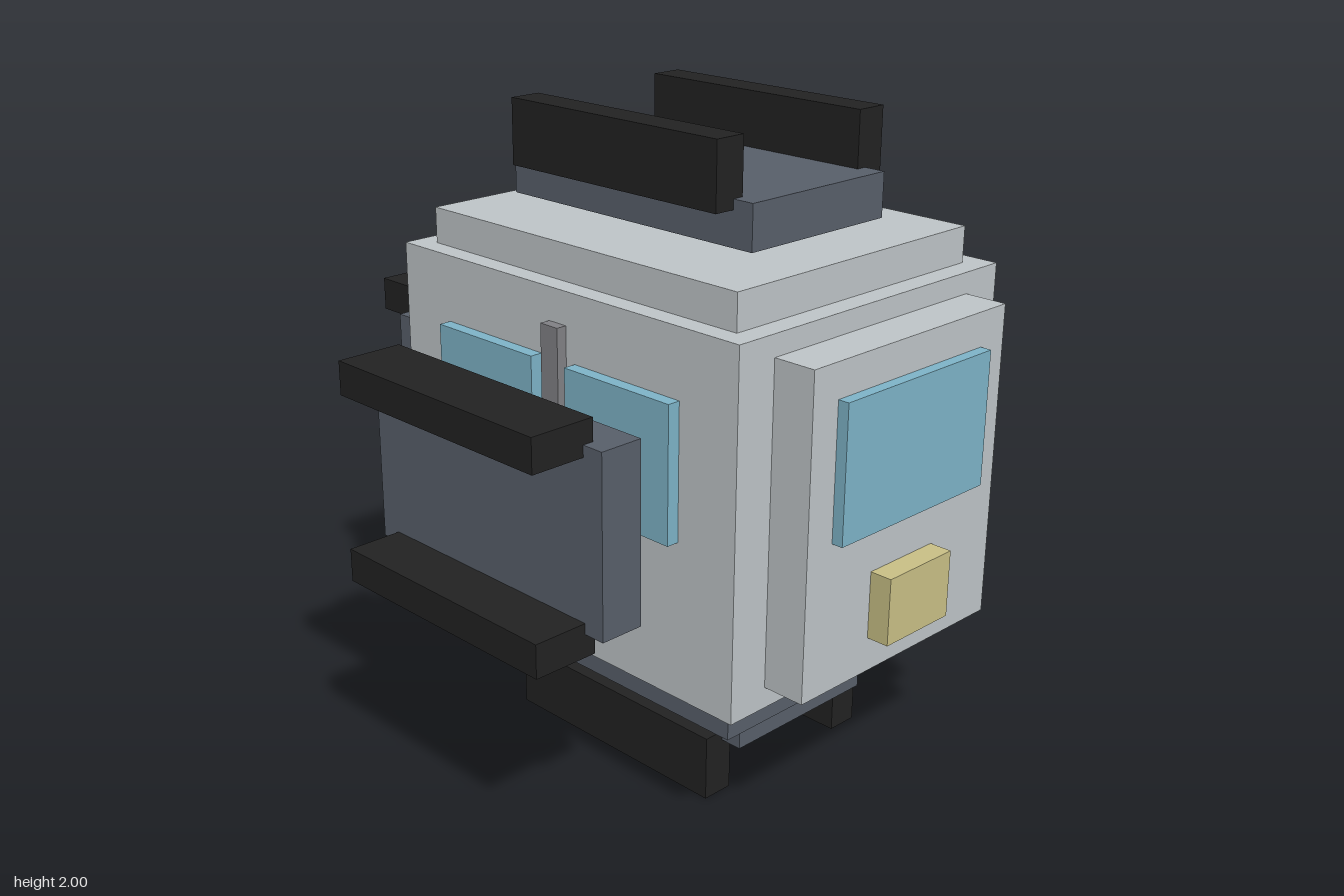
import * as THREE from 'three';

const mat = (name, color) => {
  const m = new THREE.MeshStandardMaterial({ color });
  m.name = name;
  return m;
};

export function createModel() {
  const hull = mat('pale grey hull', 0xbfc5c8);
  const slate = mat('slate', 0x585f6a);
  const black = mat('black', 0x222222);
  const glass = mat('blue glass', 0x7eb4c8);
  const trim = mat('mid grey', 0x818185);
  const lamp = mat('yellow lamp', 0xc9c086);

  const model = new THREE.Group();
  model.name = 'pod';

  // Box given by its extents along each axis
  const box = (name, material, [x0, x1], [y0, y1], [z0, z1]) => {
    const mesh = new THREE.Mesh(new THREE.BoxGeometry(x1 - x0, y1 - y0, z1 - z0), material);
    mesh.position.set((x0 + x1) / 2, (y0 + y1) / 2, (z0 + z1) / 2);
    mesh.name = name;
    model.add(mesh);
  };

  // Hull with stepped roof and base
  box('body', hull, [-0.64, 0.74], [0.455, 1.55], [-0.76, 0.34]);
  box('roof', hull, [-0.57, 0.67], [1.55, 1.66], [-0.69, 0.275]);
  box('base', slate, [-0.57, 0.67], [0.35, 0.455], [-0.69, 0.275]);

  // Left face: raised panel, window and lamp
  box('sidePanel', hull, [0.74, 0.875], [0.52, 1.485], [-0.62, 0.205]);
  box('sideWindow', glass, [0.875, 0.91], [0.97, 1.38], [-0.515, 0.105]);
  box('lamp', lamp, [0.875, 0.945], [0.625, 0.83], [-0.34, -0.07]);

  // Window pairs and centre strips, front and back
  for (const [side, zWindow, zStrip] of [
    ['front', [0.34, 0.38], [0.34, 0.373]],
    ['back', [-0.795, -0.76], [-0.787, -0.76]],
  ]) {
    box(side + 'WindowRight', glass, [-0.435, -0.02], [0.935, 1.345], zWindow);
    box(side + 'WindowLeft', glass, [0.12, 0.53], [0.935, 1.345], zWindow);
    box(side + 'Strip', trim, [0.015, 0.085], [0.555, 1.45], zStrip);
  }

  const neckX = [-0.09, 0.185], plateX = [-0.435, 0.53], barX = [-0.365, 0.46];

  // Top and bottom docking clamps
  for (const [side, neckY, plateY, barY] of [
    ['top', [1.66, 1.695], [1.695, 1.83], [1.8, 2]],
    ['bottom', [0.31, 0.35], [0.175, 0.31], [0, 0.205]],
  ]) {
    box(side + 'Neck', slate, neckX, neckY, [-0.34, -0.07]);
    box(side + 'Plate', slate, plateX, plateY, [-0.48, 0.07]);
    box(side + 'FrontBar', black, barX, barY, [0.035, 0.138]);
    box(side + 'BackBar', black, barX, barY, [-0.55, -0.447]);
  }

  // Front clamp
  box('frontNeck', slate, neckX, [0.865, 1.14], [0.34, 0.48]);
  box('frontPlate', slate, plateX, [0.73, 1.277], [0.48, 0.62]);

  // Right clamp on its backing panel
  box('rightBacking', trim, [-0.74, -0.64], [0.59, 1.415], [-0.62, 0.205]);
  box('rightPlate', slate, [-0.777, -0.64], [0.73, 1.277], [-0.69, 0.275]);

  // Upper and lower bars of the front and right clamps
  for (const [level, y] of [['Lower', [0.66, 0.763]], ['Upper', [1.242, 1.345]]]) {
    box('front' + level + 'Bar', black, barX, y, [0.585, 0.795]);
    box('right' + level + 'Bar', black, [-0.95, -0.74], y, [-0.62, 0.205]);
  }

  return model;
}
